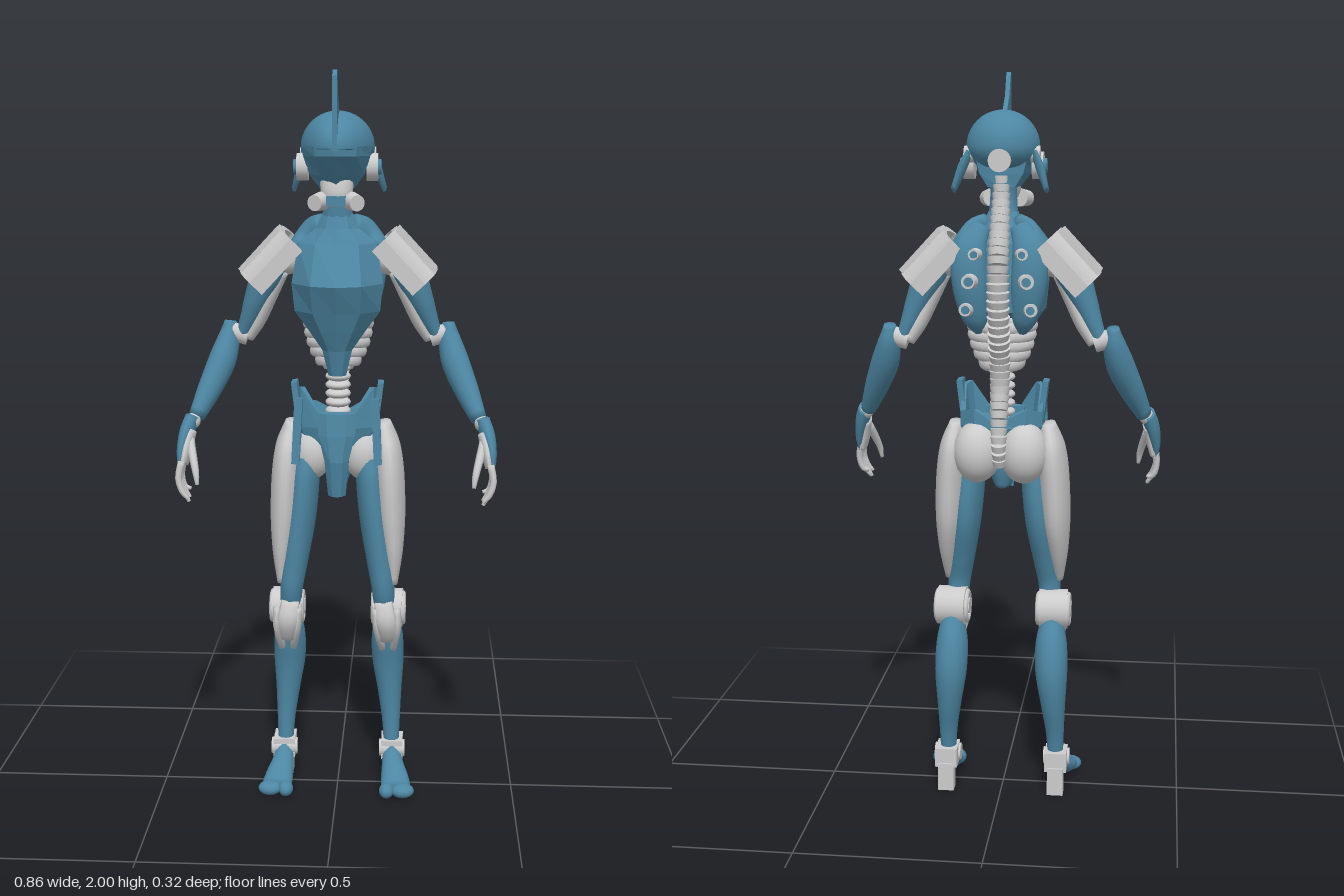
import * as THREE from 'three';

const V = (x, y, z) => new THREE.Vector3(x, y, z);
const mat = (color) => new THREE.MeshStandardMaterial({ color, roughness: 0.6 });
const GREY = mat(0xcccccc), BLUE = mat(0x4d87a3);

// Closed skin over rows of points, capped at both ends
function skin(rows, flat = false) {
  const n = rows[0].length, m = rows.length, pos = [], idx = [];
  rows.forEach((r) => r.forEach((p) => pos.push(p.x, p.y, p.z)));
  for (const r of [rows[0], rows[m - 1]]) {
    const c = r.reduce((a, p) => a.add(p), V(0, 0, 0)).divideScalar(n);
    pos.push(c.x, c.y, c.z);
  }
  for (let j = 0; j < n; j++) {
    const k = (j + 1) % n, e = (m - 1) * n;
    for (let i = 0; i < m - 1; i++) {
      const a = i * n + j, b = i * n + k;
      idx.push(a, b, a + n, b, b + n, a + n);
    }
    idx.push(m * n, k, j, m * n + 1, e + j, e + k);
  }
  let g = new THREE.BufferGeometry();
  g.setAttribute('position', new THREE.Float32BufferAttribute(pos, 3));
  g.setIndex(idx);
  if (flat) g = g.toNonIndexed();
  g.computeVertexNormals();
  return g;
}

// Smooth limb through stations [x, y, z, width radius, depth radius]
function limb(st, n = 18, sub = 5) {
  const path = new THREE.CatmullRomCurve3(st.map((s) => V(s[0], s[1], s[2])));
  const radii = new THREE.CatmullRomCurve3(st.map((s, i) => V(s[3], s[4], i * 0.05)));
  const rows = [], steps = (st.length - 1) * sub;
  for (let i = 0; i <= steps; i++) {
    const t = i / steps, c = path.getPoint(t), r = radii.getPoint(t), T = path.getTangent(t);
    const u = V(1, 0, 0).addScaledVector(T, -T.x).normalize(), v = T.clone().cross(u);
    rows.push(Array.from({ length: n }, (_, j) => {
      const a = j / n * Math.PI * 2;
      return c.clone().addScaledVector(u, r.x * Math.cos(a)).addScaledVector(v, r.y * Math.sin(a));
    }));
  }
  return skin(rows);
}

// Symmetric ring from a half outline running front to back
const ring = (half) => [...half.map((p) => V(-p[0], p[1], p[2])),
  ...half.slice(1, -1).reverse().map((p) => V(p[0], p[1], p[2]))];

const ball = (x, y, z, a, b, c) => new THREE.SphereGeometry(1, 24, 16).scale(a, b, c).translate(x, y, z);
const box = (x, y, z, a, b, c, rx = 0, rz = 0) =>
  new THREE.BoxGeometry(a, b, c).rotateX(rx).rotateZ(rz).translate(x, y, z);
// Disc whose axis points along dir
function disc(x, y, z, r, h, dir, r2 = r) {
  const q = new THREE.Quaternion().setFromUnitVectors(V(0, 1, 0), dir.clone().normalize());
  return new THREE.CylinderGeometry(r2, r, h, 20).applyQuaternion(q).translate(x, y, z);
}
const outline = (pts) => new THREE.Shape(pts.map((p) => new THREE.Vector2(p[0], p[1])));

function mirrored(geo) {
  const g = geo.clone().scale(-1, 1, 1);
  if (!g.index) g.setIndex([...Array(g.attributes.position.count).keys()]);
  const a = g.index.array;
  for (let i = 0; i < a.length; i += 3) [a[i], a[i + 1]] = [a[i + 1], a[i]];
  return g;
}

export function createModel() {
  const model = new THREE.Group();
  const add = (name, geo, m = BLUE) => {
    const mesh = new THREE.Mesh(geo, m);
    mesh.name = name;
    model.add(mesh);
  };
  const pair = (name, geo, m = BLUE) => {
    add(name + 'Left', geo, m);
    add(name + 'Right', mirrored(geo), m);
  };

  // Helmet dome: a sphere drawn out to a beak at the front
  const dome = new THREE.SphereGeometry(1, 32, 20), p = dome.attributes.position;
  for (let i = 0; i < p.count; i++) {
    const x = p.getX(i), y = p.getY(i), z = p.getZ(i), f = Math.max(z, 0);
    p.setXYZ(i, x * 0.098 * (1 - 0.15 * f), 1.805 + y * (y > 0 ? 0.095 : 0.07 * (1 - f)), z * (z > 0 ? 0.152 : 0.1));
  }
  dome.computeVertexNormals();
  add('helmet', dome);
  const face = (y, x, zf, zs) => ring([[0, y, zf], [x * 0.6, y, zf - 0.03], [x, y, zs], [x * 0.8, y, -0.05], [0, y, -0.06]]);
  add('visor', skin([face(1.81, 0.092, 0.15, 0.06), face(1.785, 0.088, 0.148, 0.055),
    face(1.735, 0.072, 0.105, 0.04), face(1.7, 0.045, 0.07, 0.03)], true));
  const fin = new THREE.ExtrudeGeometry(outline([[0.153, 1.8], [0.153, 1.985], [0.138, 2], [0.125, 1.99],
    [0.09, 1.935], [0.03, 1.895], [0.0, 1.88], [0.05, 1.82]]), { depth: 0.012, bevelEnabled: false });
  add('fin', fin.rotateY(-Math.PI / 2).translate(0.006, 0, 0));
  pair('earDisc', disc(0.092, 1.755, 0.012, 0.036, 0.03, V(1, 0, 0)), GREY);
  pair('earHub', disc(0.11, 1.755, 0.012, 0.02, 0.012, V(1, 0, 0)));
  pair('earKnob', disc(0.088, 1.785, -0.025, 0.022, 0.025, V(1, 0, 0)), GREY);
  pair('earWing', limb([[0.088, 1.785, -0.035, 0.01, 0.022], [0.105, 1.745, -0.06, 0.012, 0.028],
    [0.122, 1.695, -0.085, 0.007, 0.022]], 6, 1));
  add('backHeadDisc', disc(0, 1.77, -0.092, 0.03, 0.02, V(0, 0, 1)), GREY);
  add('jaw', limb([[0, 1.72, 0.04, 0.045, 0.04], [0, 1.685, 0.055, 0.04, 0.032], [0, 1.655, 0.06, 0.025, 0.02]]), GREY);
  pair('breather', disc(0.047, 1.667, 0.078, 0.025, 0.04, V(0.5, -0.1, 1), 0.021), GREY);
  add('mouthGuard', box(0, 1.67, 0.085, 0.05, 0.025, 0.025));

  // Neck and faceted chest
  add('neck', limb([[0, 1.74, 0, 0.04, 0.035], [0, 1.68, 0.008, 0.036, 0.035], [0, 1.62, 0, 0.043, 0.04], [0, 1.57, -0.015, 0.075, 0.055]]));
  const chest = (y, x, zf, zs, zb) => ring([[0, y, zf], [x * 0.55, y, zf * 0.75 + zs * 0.25], [x, y, zs],
    [x * 0.95, y, zs * 0.4 + zb * 0.6], [x * 0.55, y, zb], [0, y, zb]]);
  add('chest', skin([chest(1.635, 0.04, 0.038, 0.01, -0.035), chest(1.595, 0.058, 0.055, 0.01, -0.07),
    chest(1.555, 0.105, 0.075, 0.01, -0.095), chest(1.45, 0.122, 0.14, 0.035, -0.11),
    chest(1.375, 0.115, 0.105, 0.025, -0.105), chest(1.325, 0.078, 0.085, 0.03, -0.04),
    chest(1.27, 0.04, 0.062, 0.03, 0.01), chest(1.2, 0.024, 0.045, 0.025, 0.015)], true));
  pair('shoulderBlade', limb([[0.05, 1.6, -0.07, 0.025, 0.02], [0.078, 1.54, -0.095, 0.045, 0.03],
    [0.078, 1.45, -0.1, 0.048, 0.035], [0.066, 1.36, -0.088, 0.035, 0.025], [0.055, 1.32, -0.07, 0.015, 0.012]]));
  for (const [x, y, z, r] of [[0.062, 1.53, -0.125, 0.017], [0.075, 1.46, -0.135, 0.022], [0.085, 1.385, -0.122, 0.02]]) {
    pair('backPort', disc(x, y, z, r, 0.026, V(0.2, 0, -1), r * 0.85), GREY);
    pair('backPortCore', disc(x, y, z - 0.012, r * 0.55, 0.014, V(0.2, 0, -1)));
  }
  pair('collar', limb([[0.04, 1.605, -0.02, 0.025, 0.03], [0.09, 1.575, -0.05, 0.022, 0.045], [0.125, 1.53, -0.055, 0.02, 0.05]]));

  // Ribs, waist column and spine
  for (let i = 0; i < 5; i++) {
    const w = [0.098, 0.095, 0.09, 0.082, 0.07][i] - 0.016;
    add('rib', new THREE.TorusGeometry(1, 0.19, 10, 32).rotateX(Math.PI / 2)
      .scale(w, 0.09, 0.055).rotateX(-0.12).translate(0, 1.335 - i * 0.025, -0.03), GREY);
  }
  add('waistCore', limb([[0, 1.36, -0.03, 0.08, 0.06], [0, 1.27, -0.03, 0.07, 0.045], [0, 1.21, -0.03, 0.04, 0.03]]), GREY);
  for (let i = 0; i < 7; i++)
    add('waistDisc', ball(0, 1.215 - i * 0.024, -0.02, 0.035, 0.015, 0.035), GREY);
  const spine = new THREE.CatmullRomCurve3([V(0, 1.74, -0.04), V(0, 1.67, -0.055), V(0, 1.59, -0.09), V(0, 1.5, -0.13),
    V(0, 1.42, -0.133), V(0, 1.33, -0.115), V(0, 1.24, -0.085), V(0, 1.17, -0.083), V(0, 1.09, -0.11), V(0, 1.02, -0.12), V(0, 0.97, -0.105)]);
  for (let i = 0; i <= 36; i++) {
    const t = i / 36, c = spine.getPointAt(t), r = 0.02 + 0.011 * Math.sin(Math.PI * Math.min(1, t * 1.05)) ** 0.7;
    add('vertebra', disc(c.x, c.y, c.z, r, 0.019, spine.getTangentAt(t), r * 0.84), GREY);
  }

  // Pelvis: belt with raised hip flanges, front plate and straps
  const belt = [[0, 1.1, 0.055], [0.05, 1.1, 0.055], [0.1, 1.17, 0.035], [0.115, 1.165, 0.005],
    [0.112, 1.1, -0.05], [0.07, 1.11, -0.085], [0, 1.07, -0.09]];
  add('belt', skin([ring(belt.map((q) => [q[0] * 0.8, 1.08, q[2] * 0.8])), ring(belt.map((q) => [q[0] * 0.88, q[1], q[2] * 0.88])),
    ring(belt), ring(belt.map((q) => [q[0], 1.06, q[2] * 1.04])), ring(belt.map((q) => [q[0] * 0.8, 1.01, q[2] * 0.9]))], true));
  const plate = (y, x, zf, zb) => ring([[0, y, zf], [x * 0.5, y, zf - 0.004], [x, y, zf - 0.02], [x, y, zb], [0, y, zb]]);
  add('frontPlate', skin([plate(1.1, 0.055, 0.07, 0.03), plate(1.04, 0.05, 0.08, 0.03),
    plate(0.97, 0.033, 0.085, 0.035), plate(0.87, 0.024, 0.07, 0.04)], true));
  add('crotch', limb([[0, 1.03, -0.01, 0.07, 0.05], [0, 0.95, -0.01, 0.045, 0.05], [0, 0.89, 0.0, 0.025, 0.045]]));
  pair('hipStrap', box(0.108, 1.05, 0.048, 0.022, 0.18, 0.03, -0.06, 0.05));
  pair('hipFlange', box(0.112, 1.13, 0.0, 0.016, 0.1, 0.06, 0, -0.12));
  pair('hip', ball(0.07, 0.98, 0.0, 0.055, 0.075, 0.06), GREY);
  pair('buttock', ball(0.064, 0.99, -0.066, 0.066, 0.085, 0.07), GREY);

  // Legs
  pair('outerThigh', limb([[0.125, 1.065, -0.02, 0.02, 0.04], [0.136, 1.0, -0.02, 0.036, 0.08], [0.142, 0.92, -0.012, 0.042, 0.09],
    [0.148, 0.8, -0.005, 0.04, 0.083], [0.154, 0.7, 0.01, 0.028, 0.058], [0.156, 0.61, 0.025, 0.012, 0.022]]), GREY);
  pair('innerThigh', limb([[0.085, 0.99, 0, 0.03, 0.05], [0.09, 0.92, 0, 0.04, 0.07], [0.102, 0.8, 0.0, 0.042, 0.074],
    [0.118, 0.68, 0.018, 0.037, 0.055], [0.128, 0.6, 0.028, 0.032, 0.042], [0.132, 0.53, 0.015, 0.028, 0.035]]));
  pair('kneeDisc', disc(0.143, 0.53, -0.01, 0.055, 0.08, V(1, 0, 0.05)), GREY);
  for (const s of [-1, 1]) {
    const x = 0.143 + s * 0.04;
    pair('kneeRing', new THREE.TorusGeometry(0.04, 0.009, 8, 28).rotateY(Math.PI / 2).translate(x, 0.53, -0.01), GREY);
    pair('kneeHub', disc(x, 0.53, -0.01, 0.022, 0.018, V(1, 0, 0)), GREY);
    pair('kneeArm', limb([[0.138 + s * 0.03, 0.545, 0.045, 0.011, 0.02], [0.14 + s * 0.028, 0.49, 0.045, 0.012, 0.022],
      [0.142 + s * 0.016, 0.415, 0.0, 0.01, 0.016]], 8, 3), GREY);
  }
  pair('kneeCap', limb([[0.13, 0.565, 0.05, 0.025, 0.012], [0.136, 0.51, 0.06, 0.03, 0.018], [0.14, 0.45, 0.03, 0.024, 0.016]], 10, 3), GREY);
  pair('calf', limb([[0.14, 0.51, -0.025, 0.03, 0.035], [0.14, 0.44, -0.045, 0.044, 0.052], [0.142, 0.36, -0.062, 0.045, 0.054],
    [0.147, 0.27, -0.06, 0.035, 0.044], [0.152, 0.18, -0.048, 0.026, 0.03], [0.154, 0.09, -0.038, 0.021, 0.023]]));
  pair('ankleCuff', box(0.156, 0.095, -0.045, 0.062, 0.055, 0.075), GREY);
  pair('anklePin', disc(0.156, 0.095, -0.028, 0.024, 0.074, V(1, 0, 0)), GREY);
  pair('heelPost', box(0.156, 0.04, -0.068, 0.045, 0.08, 0.042), GREY);
  pair('foot', limb([[0.155, 0.1, -0.035, 0.024, 0.025], [0.158, 0.065, 0.0, 0.03, 0.027], [0.166, 0.035, 0.05, 0.04, 0.026], [0.17, 0.024, 0.09, 0.042, 0.019]]));
  pair('bigToe', ball(0.143, 0.021, 0.1, 0.021, 0.021, 0.026));
  pair('outerToes', ball(0.188, 0.02, 0.095, 0.033, 0.02, 0.027));

  // Shoulder pads: an arch extruded along the upper arm, with a raised frame
  const arch = new THREE.Shape();
  arch.moveTo(-0.078, 0).lineTo(-0.078, 0.045).quadraticCurveTo(-0.07, 0.08, -0.04, 0.085)
    .quadraticCurveTo(0, 0.092, 0.04, 0.085).quadraticCurveTo(0.07, 0.08, 0.078, 0.045).lineTo(0.078, 0)
    .lineTo(0.064, 0).lineTo(0.064, 0.045).quadraticCurveTo(0.055, 0.068, 0, 0.072)
    .quadraticCurveTo(-0.055, 0.068, -0.064, 0.045).lineTo(-0.064, 0);
  const n = V(0.73, 0.68, 0).normalize(), place = new THREE.Matrix4().makeBasis(V(0, 0, 1), n, V(0, 0, 1).cross(n));
  place.setPosition(0.147, 1.477, -0.043);
  pair('shoulderPad', new THREE.ExtrudeGeometry(arch, { depth: 0.16, bevelEnabled: false, curveSegments: 8 })
    .translate(0, 0, -0.08).applyMatrix4(place), GREY);
  const rect = (a, b) => outline([[-a, -b], [a, -b], [a, b], [-a, b]]);
  const frame = rect(0.056, 0.076);
  frame.holes.push(rect(0.044, 0.06));
  pair('padFrame', new THREE.ExtrudeGeometry(frame, { depth: 0.014, bevelEnabled: false })
    .rotateX(-Math.PI / 2).translate(0, 0.08, 0).applyMatrix4(place), GREY);

  // Arms
  pair('shoulderJoint', ball(0.14, 1.51, -0.045, 0.045, 0.045, 0.045), GREY);
  pair('upperArm', limb([[0.15, 1.53, -0.043, 0.035, 0.045], [0.19, 1.47, -0.043, 0.045, 0.056], [0.222, 1.4, -0.048, 0.036, 0.046],
    [0.247, 1.34, -0.056, 0.026, 0.033], [0.268, 1.295, -0.062, 0.018, 0.022]]));
  pair('innerArm', limb([[0.155, 1.48, -0.04, 0.022, 0.03], [0.19, 1.41, -0.045, 0.024, 0.034], [0.222, 1.34, -0.055, 0.022, 0.03],
    [0.25, 1.29, -0.062, 0.016, 0.022]]), GREY);
  pair('elbow', disc(0.275, 1.3, -0.062, 0.026, 0.05, V(1, 0.3, 0)), GREY);
  pair('forearm', limb([[0.3, 1.335, -0.068, 0.016, 0.022], [0.304, 1.29, -0.06, 0.03, 0.036], [0.32, 1.23, -0.036, 0.038, 0.042],
    [0.352, 1.155, 0.0, 0.033, 0.036], [0.384, 1.085, 0.038, 0.022, 0.027]]));
  pair('wrist', ball(0.392, 1.075, 0.046, 0.02, 0.022, 0.024), GREY);
  pair('handGuard', limb([[0.394, 1.085, 0.045, 0.02, 0.027], [0.408, 1.045, 0.066, 0.02, 0.034],
    [0.418, 0.995, 0.09, 0.014, 0.037], [0.42, 0.965, 0.1, 0.008, 0.034]], 12));
  pair('palm', limb([[0.396, 1.05, 0.065, 0.015, 0.025], [0.405, 1.0, 0.09, 0.014, 0.035], [0.412, 0.965, 0.1, 0.011, 0.036]], 12), GREY);
  for (let i = 0; i < 4; i++) {
    const z = 0.072 + i * 0.019, tip = [0.895, 0.875, 0.868, 0.88][i];
    pair('finger', limb([[0.414, 0.98, z, 0.01, 0.01], [0.422, 0.935, z + 0.008, 0.009, 0.0095],
      [0.412, 0.9, z + 0.012, 0.008, 0.0085], [0.396, tip, z + 0.014, 0.005, 0.005]], 8, 3), GREY);
  }
  pair('thumb', limb([[0.397, 1.03, 0.085, 0.013, 0.014], [0.383, 0.985, 0.12, 0.011, 0.012], [0.374, 0.95, 0.14, 0.009, 0.009],
    [0.37, 0.92, 0.147, 0.005, 0.005]], 8, 3), GREY);

  return model;
}
